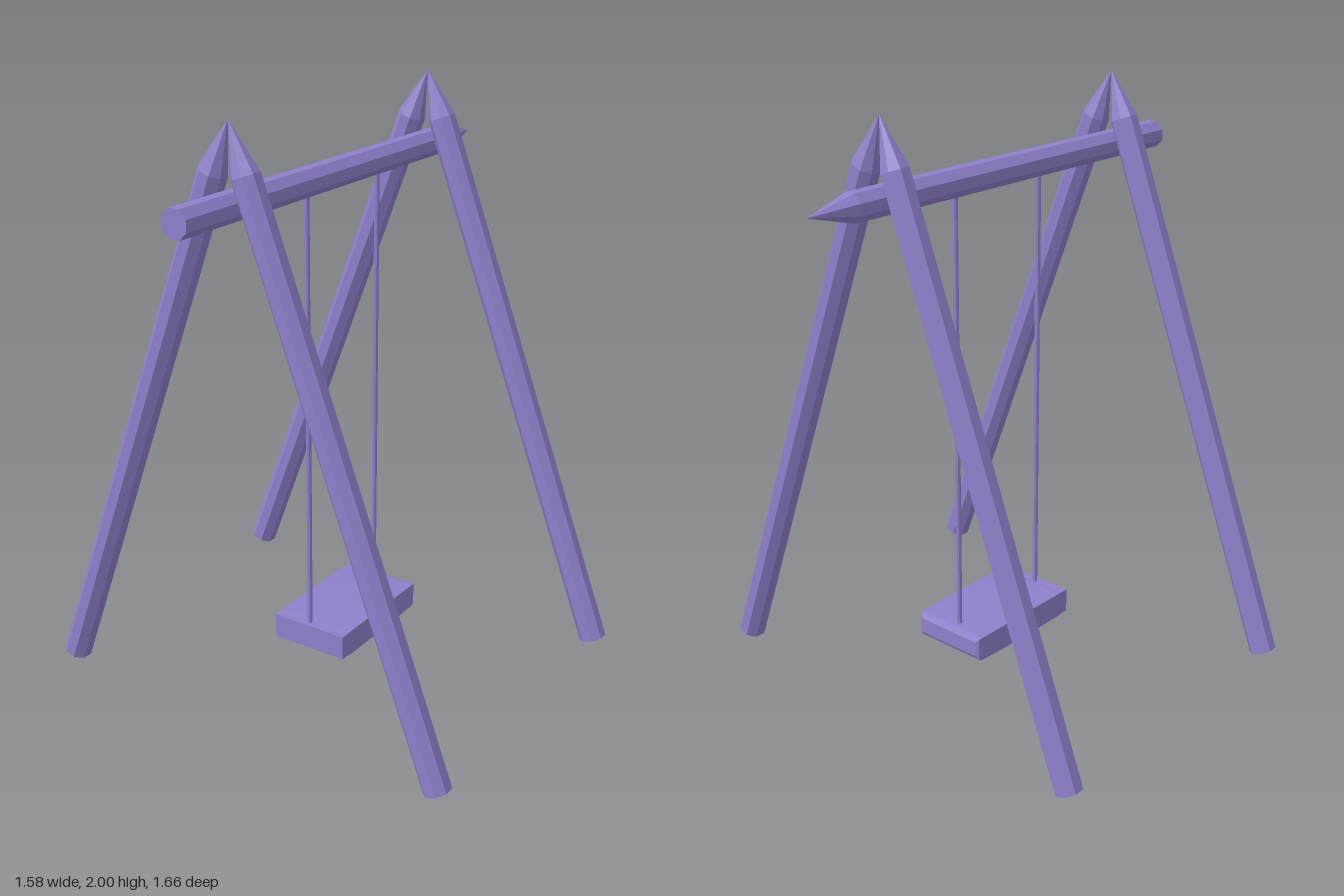
import * as THREE from 'three';

const material = new THREE.MeshStandardMaterial({ color: 0x8f80cc, flatShading: true });

// Eight-sided post along +y from the origin, sharpened at the far end
function pointedPost(name, length, tipLength, radius) {
  const corner = radius / Math.cos(Math.PI / 8);
  const profile = [[0, 0], [corner, 0], [corner, length - tipLength], [0, length]]
    .map(([r, y]) => new THREE.Vector2(r, y));
  const post = new THREE.Mesh(new THREE.LatheGeometry(profile, 8, Math.PI / 8), material);
  post.name = name;
  return post;
}

// Seat plank: a box whose stations along z are inset to round off the back end
function seatGeometry() {
  const stations = [ // z, inset
    [-0.262, 0.018], [-0.256, 0.006], [-0.242, 0.002], [-0.13, 0],
    [0.17, 0], [0.19, 0.002], [0.215, 0.002],
  ];
  const n = stations.length - 1;
  const geometry = new THREE.BoxGeometry(0.288, 0.09, 1, 1, 1, n);
  const p = geometry.attributes.position;
  for (let i = 0; i < p.count; i++) {
    const [z, inset] = stations[Math.round((p.getZ(i) + 0.5) * n)];
    p.setXYZ(i,
      p.getX(i) - Math.sign(p.getX(i)) * inset,
      p.getY(i) - Math.sign(p.getY(i)) * inset,
      z);
  }
  geometry.computeVertexNormals();
  return geometry;
}

export function createModel() {
  const model = new THREE.Group();
  model.name = 'swingSet';

  // Two A-frames of leaning legs that meet at their points
  const footX = 0.748, footY = 0.016, rise = 2 - footY;
  for (const [end, z] of [['front', 0.575], ['back', -0.535]]) {
    const frame = new THREE.Group();
    frame.name = end + 'Frame';
    for (const side of [-1, 1]) {
      const leg = pointedPost(side > 0 ? 'leftLeg' : 'rightLeg', Math.hypot(footX, rise), 0.17, 0.044);
      leg.position.set(side * footX, footY, z);
      leg.rotation.z = side * Math.atan2(footX, rise);
      frame.add(leg);
    }
    model.add(frame);
  }

  // Top beam, pointed towards the back
  const beam = pointedPost('topBeam', 1.66, 0.17, 0.045);
  beam.rotation.x = -Math.PI / 2;
  beam.position.set(0, 1.745, 0.83);
  model.add(beam);

  // Swing: two ropes and a thick seat
  const swing = new THREE.Group();
  swing.name = 'swing';
  for (const [name, z] of [['frontRope', 0.19], ['backRope', -0.217]]) {
    const rope = new THREE.Mesh(new THREE.CylinderGeometry(0.009, 0.009, 1.56, 8), material);
    rope.name = name;
    rope.position.set(0, 0.95, z);
    swing.add(rope);
  }
  const seat = new THREE.Mesh(seatGeometry(), material);
  seat.name = 'seat';
  seat.position.set(0.012, 0.14, 0);
  swing.add(seat);
  model.add(swing);

  return model;
}
